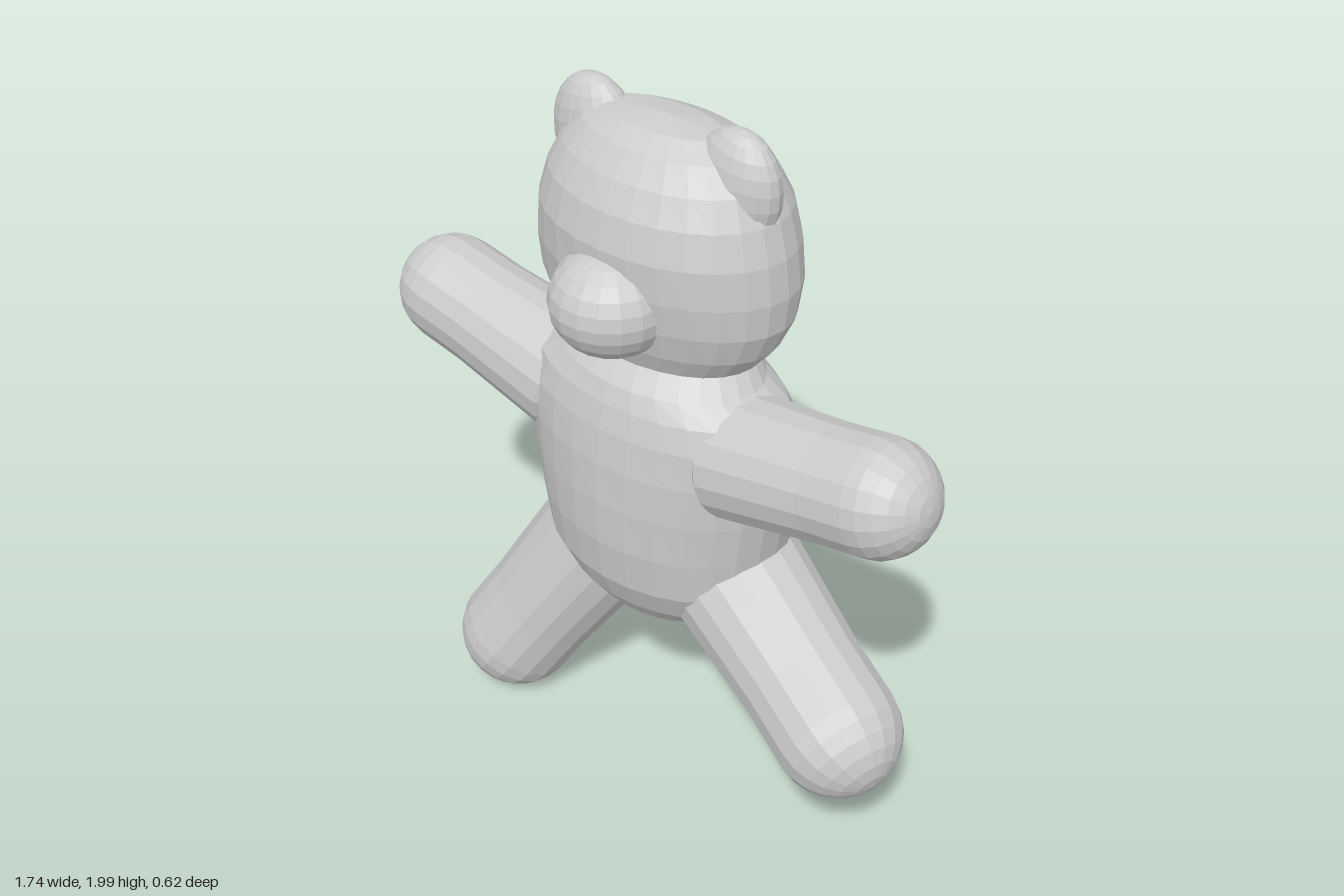
import * as THREE from 'three';

const material = new THREE.MeshStandardMaterial({ color: 0xcccccc, flatShading: true });

function addMesh(parent, name, geometry) {
  const mesh = new THREE.Mesh(geometry, material);
  mesh.name = name;
  parent.add(mesh);
  return mesh;
}

// Oval cross-sections stacked upwards: [y, half width, front z, back z]
function loft(rows, segments, centreX = 0) {
  const profile = rows.map(([y, w]) => new THREE.Vector2(Math.max(w, 0.001), y));
  const geometry = new THREE.LatheGeometry(profile, segments);
  const pos = geometry.attributes.position;
  for (let i = 0; i < pos.count; i++) {
    const [, w, front, back] = rows[i % rows.length];
    const unitZ = pos.getZ(i) / Math.max(w, 0.001);
    pos.setX(i, pos.getX(i) + centreX);
    pos.setZ(i, (front + back) / 2 + unitZ * (front - back) / 2);
  }
  geometry.computeVertexNormals();
  return geometry;
}

// Round-ended limb that flares where it joins the torso
function addLimb(parent, name, root, end, radius, flare) {
  const a = new THREE.Vector3(...root), b = new THREE.Vector3(...end);
  const length = a.distanceTo(b);
  const profile = [
    new THREE.Vector2(0.001, -radius * 0.6),
    new THREE.Vector2(flare * 0.75, -radius * 0.4),
    new THREE.Vector2(flare, 0),
    new THREE.Vector2((radius + flare) / 2, length * 0.35),
    new THREE.Vector2(radius, length * 0.7),
  ];
  for (let i = 0; i <= 6; i++) {
    const t = (i / 6) * Math.PI / 2;
    profile.push(new THREE.Vector2(Math.max(radius * Math.cos(t), 0.001), length + radius * Math.sin(t)));
  }
  const mesh = addMesh(parent, name, new THREE.LatheGeometry(profile, 18));
  mesh.position.copy(a);
  mesh.quaternion.setFromUnitVectors(new THREE.Vector3(0, 1, 0), b.sub(a).normalize());
}

function addEllipsoid(parent, name, centre, radii) {
  const mesh = addMesh(parent, name, new THREE.SphereGeometry(1, 18, 12));
  mesh.position.set(...centre);
  mesh.scale.set(...radii);
  return mesh;
}

export function createModel() {
  const bear = new THREE.Group();
  bear.name = 'bear';

  // Torso with a rounded belly and flat shoulders
  addMesh(bear, 'torso', loft([
    [0.52, 0, -0.02, -0.02],
    [0.525, 0.12, 0.06, -0.1],
    [0.56, 0.22, 0.13, -0.19],
    [0.63, 0.31, 0.18, -0.255],
    [0.72, 0.36, 0.22, -0.305],
    [0.85, 0.375, 0.237, -0.313],
    [0.98, 0.395, 0.24, -0.31],
    [1.1, 0.41, 0.235, -0.292],
    [1.2, 0.41, 0.222, -0.262],
    [1.27, 0.375, 0.205, -0.235],
    [1.32, 0.3, 0.185, -0.22],
    [1.37, 0.26, 0.14, -0.21],
    [1.42, 0, -0.03, -0.03],
  ], 28));

  // Head
  const head = new THREE.Group();
  head.name = 'head';
  bear.add(head);
  addMesh(head, 'skull', loft([
    [1.3, 0, -0.02, -0.02],
    [1.32, 0.2, 0.1, -0.17],
    [1.37, 0.285, 0.14, -0.22],
    [1.43, 0.335, 0.165, -0.255],
    [1.51, 0.37, 0.185, -0.288],
    [1.6, 0.378, 0.198, -0.308],
    [1.7, 0.366, 0.2, -0.308],
    [1.79, 0.34, 0.178, -0.292],
    [1.86, 0.305, 0.14, -0.255],
    [1.92, 0.25, 0.09, -0.19],
    [1.955, 0.17, 0.04, -0.12],
    [1.968, 0, -0.04, -0.04],
  ], 28, -0.013));
  addEllipsoid(head, 'muzzle', [-0.015, 1.54, 0.15], [0.16, 0.14, 0.16]);

  // Ears, thin from front to back and leaning outwards
  for (const side of [-1, 1]) {
    const ear = addEllipsoid(head, side > 0 ? 'leftEar' : 'rightEar',
      [-0.013 + side * 0.22, 1.845, -0.04], [0.128, 0.155, 0.075]);
    ear.rotation.z = -side * 0.15;
  }

  // Arms stretched out to the sides
  for (const side of [-1, 1]) {
    addLimb(bear, side > 0 ? 'leftArm' : 'rightArm',
      [side * 0.28, 1.14, 0.01], [side * 0.718, 1.237, 0.028], 0.152, 0.17);
  }

  // Legs in a striding pose
  addLimb(bear, 'rightLeg', [-0.2, 0.65, -0.06], [-0.475, 0.178, 0.085], 0.173, 0.19);
  addLimb(bear, 'leftLeg', [0.2, 0.71, -0.06], [0.688, 0.498, 0.087], 0.172, 0.195);

  return bear;
}
